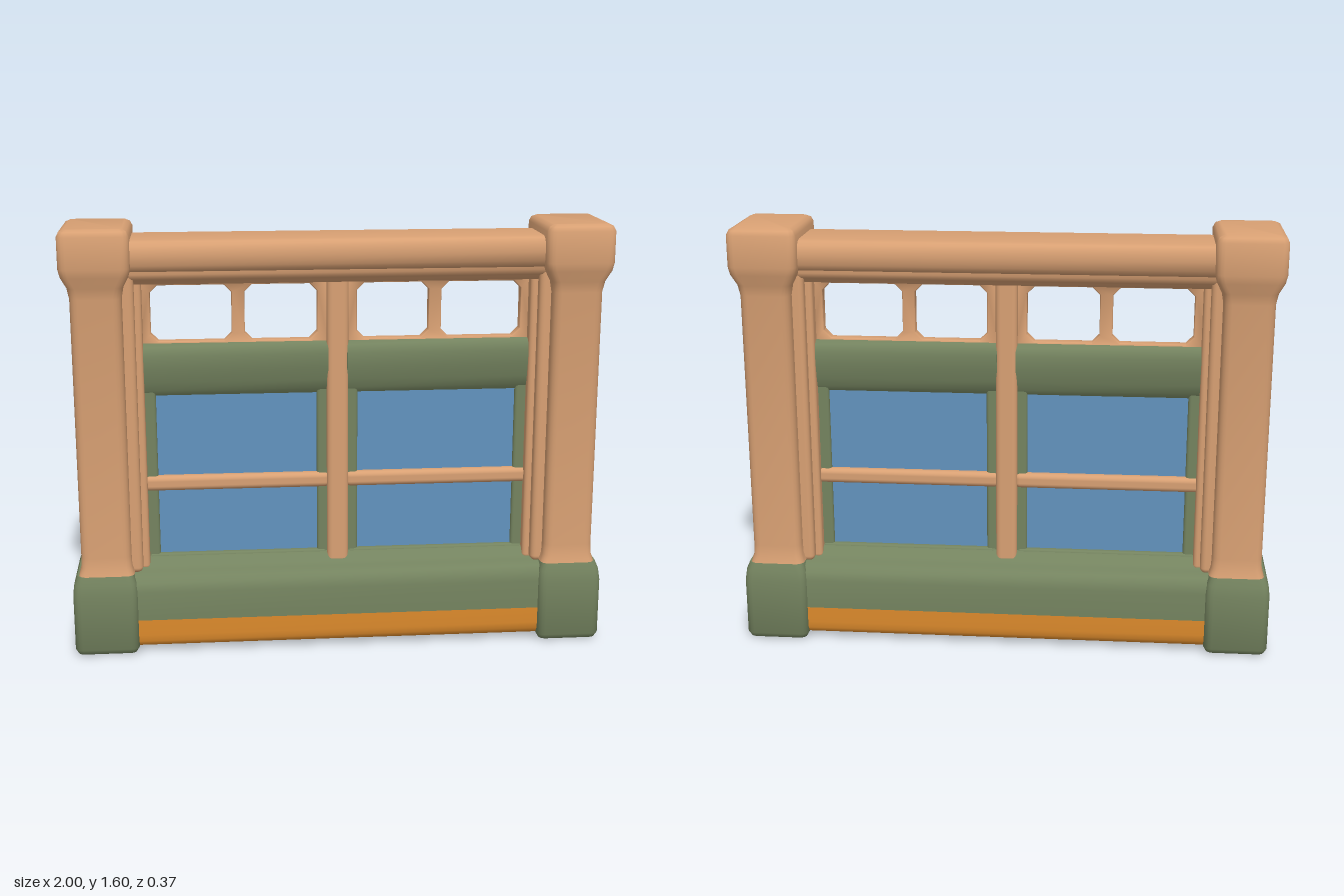
import * as THREE from 'three';
import { toCreasedNormals } from 'three/addons/utils/BufferGeometryUtils.js';
import { RoundedBoxGeometry } from 'three/addons/geometries/RoundedBoxGeometry.js';

const paint = (name, color) => {
  const m = new THREE.MeshStandardMaterial({ color });
  m.name = name;
  return m;
};

// Stack of rounded rectangles along y; each ring is [y, halfX, halfZ, cornerRadius]
function loft(rings) {
  const steps = 4, pos = [], idx = [], n = 4 * (steps + 1);
  for (const [y, hx, hz, r] of rings) {
    for (let c = 0; c < 4; c++) {
      const sx = c === 0 || c === 3 ? 1 : -1, sz = c < 2 ? 1 : -1;
      for (let s = 0; s <= steps; s++) {
        const a = (c + s / steps) * Math.PI / 2;
        pos.push(sx * (hx - r) + r * Math.cos(a), y, sz * (hz - r) + r * Math.sin(a));
      }
    }
  }
  for (let k = 0; k < rings.length - 1; k++) {
    for (let i = 0; i < n; i++) {
      const a = k * n + i, b = k * n + (i + 1) % n;
      idx.push(a, a + n, b, b, a + n, b + n);
    }
  }
  // End caps
  const last = (rings.length - 1) * n;
  for (let i = 1; i < n - 1; i++) idx.push(0, i, i + 1, last, last + i + 1, last + i);
  const g = new THREE.BufferGeometry();
  g.setAttribute('position', new THREE.Float32BufferAttribute(pos, 3));
  g.setIndex(idx);
  return toCreasedNormals(g, 0.9);
}

// Symmetric moulding swept along x; half is the front outline [z, y] from bottom to top
function moulding(half, length) {
  const pts = [...half, ...half.map(([z, y]) => [-z, y]).reverse()];
  const shape = new THREE.Shape(pts.map(([z, y]) => new THREE.Vector2(z, y)));
  const g = new THREE.ExtrudeGeometry(shape, { depth: length, bevelEnabled: false });
  g.translate(0, 0, -length / 2).rotateY(Math.PI / 2);
  return toCreasedNormals(g, 0.8);
}

// Transom panel with two chamfered openings
function transom() {
  const rect = (P, x0, x1, y0, y1, c) => new P([
    [x0 + c, y0], [x1 - c, y0], [x1, y0 + c], [x1, y1 - c],
    [x1 - c, y1], [x0 + c, y1], [x0, y1 - c], [x0, y0 + c],
  ].map(([x, y]) => new THREE.Vector2(x, y)));
  const s = rect(THREE.Shape, 0.03, 0.74, 1.13, 1.42, 0.005);
  s.holes.push(rect(THREE.Path, 0.07, 0.345, 1.165, 1.38, 0.03), rect(THREE.Path, 0.385, 0.69, 1.165, 1.38, 0.03));
  const g = new THREE.ExtrudeGeometry(s, { depth: 0.03, bevelThickness: 0.008, bevelSize: 0.004, bevelSegments: 2 });
  return toCreasedNormals(g.translate(0, 0, -0.015), 0.8);
}

export function createModel() {
  const root = new THREE.Group();
  root.name = 'windowWall';
  const wood = paint('tanWood', 0xd8a073);
  const green = paint('sageGreen', 0x74835f);
  const blue = paint('blueGlass', 0x6293be);
  const orange = paint('orangeTrim', 0xdc8a2c);

  const add = (name, geo, mat, x = 0, y = 0, z = 0, parent = root) => {
    const m = new THREE.Mesh(geo, mat);
    m.name = name;
    m.position.set(x, y, z);
    parent.add(m);
    return m;
  };
  // Rounded box given by its extents, centred on z = 0
  const box = (name, x0, x1, y0, y1, depth, mat, parent, r = 0.012) =>
    add(name, new RoundedBoxGeometry(x1 - x0, y1 - y0, depth, 3, r), mat, (x0 + x1) / 2, (y0 + y1) / 2, 0, parent);

  // Corner posts: green foot, tan shaft flaring into a block cap
  const foot = loft([
    [0, 0.095, 0.16, 0.02], [0.006, 0.11, 0.175, 0.025], [0.025, 0.12, 0.185, 0.03],
    [0.24, 0.12, 0.185, 0.03], [0.28, 0.115, 0.178, 0.03], [0.31, 0.103, 0.168, 0.03],
  ]);
  const shaft = loft([
    [0.31, 0.103, 0.168, 0.03], [0.34, 0.094, 0.16, 0.03], [0.38, 0.0925, 0.157, 0.03],
    [1.35, 0.0925, 0.157, 0.03], [1.39, 0.1, 0.164, 0.03], [1.43, 0.12, 0.18, 0.03],
    [1.46, 0.1265, 0.185, 0.03], [1.575, 0.1265, 0.185, 0.03],
    [1.592, 0.118, 0.177, 0.025], [1.6, 0.102, 0.16, 0.02],
  ]);
  for (const s of [-1, 1]) {
    const post = new THREE.Group();
    post.name = s > 0 ? 'leftPost' : 'rightPost';
    root.add(post);
    add('foot', foot, green, s * 0.88, 0, 0, post);
    add('shaftAndCap', shaft, wood, s * 0.8735, 0, 0, post);
  }

  // Top rail and the stepped head moulding beneath it
  add('topRail', moulding([
    [0.1, 1.435], [0.125, 1.445], [0.14, 1.465], [0.145, 1.5], [0.14, 1.535], [0.125, 1.55], [0.1, 1.555],
  ], 1.56), wood);
  add('headMoulding', moulding([
    [0.05, 1.385], [0.075, 1.39], [0.085, 1.405], [0.105, 1.412], [0.115, 1.43], [0.115, 1.46],
  ], 1.58), wood);

  // Bottom rail: green sill over a wrapped orange skirt
  add('sill', moulding([
    [0.162, 0.13], [0.162, 0.24], [0.155, 0.272], [0.135, 0.293],
    [0.09, 0.302], [0.065, 0.31], [0.045, 0.335], [0.02, 0.345],
  ], 1.6), green);
  add('skirt', moulding([
    [0.13, 0.02], [0.15, 0.027], [0.16, 0.045], [0.162, 0.07], [0.162, 0.13],
  ], 1.53), orange);

  // Centre mullion
  box('mullion', -0.04, 0.04, 0.3, 1.42, 0.12, wood, root, 0.02);

  const blind = moulding([
    [0.02, 0.965], [0.035, 0.985], [0.045, 1.02], [0.056, 1.07], [0.058, 1.12], [0.05, 1.15], [0.035, 1.162],
  ], 0.69);
  const panel = transom();

  // Two mirrored window bays
  for (const s of [-1, 1]) {
    const bay = new THREE.Group();
    bay.name = s > 0 ? 'leftBay' : 'rightBay';
    root.add(bay);
    const part = (name, a, b, y0, y1, d, mat, r) =>
      box(name, Math.min(s * a, s * b), Math.max(s * a, s * b), y0, y1, d, mat, bay, r);
    part('outerJamb', 0.74, 0.8, 0.3, 1.44, 0.22, wood, 0.02);
    part('innerJamb', 0.715, 0.77, 0.3, 1.42, 0.14, wood, 0.015);
    part('glass', 0.05, 0.71, 0.32, 1.0, 0.03, blue, 0.004);
    part('innerStile', 0.03, 0.077, 0.32, 1.0, 0.06, green);
    part('outerStile', 0.675, 0.73, 0.32, 1.0, 0.06, green);
    part('bottomSash', 0.04, 0.72, 0.3, 0.348, 0.07, green);
    part('crossBar', 0.03, 0.73, 0.598, 0.656, 0.085, wood, 0.02);
    add('topSash', blind, green, s * 0.38, 0, 0, bay);
    const t = add('transom', panel, wood, 0, 0, 0, bay);
    if (s < 0) t.rotation.y = Math.PI;
  }
  return root;
}
